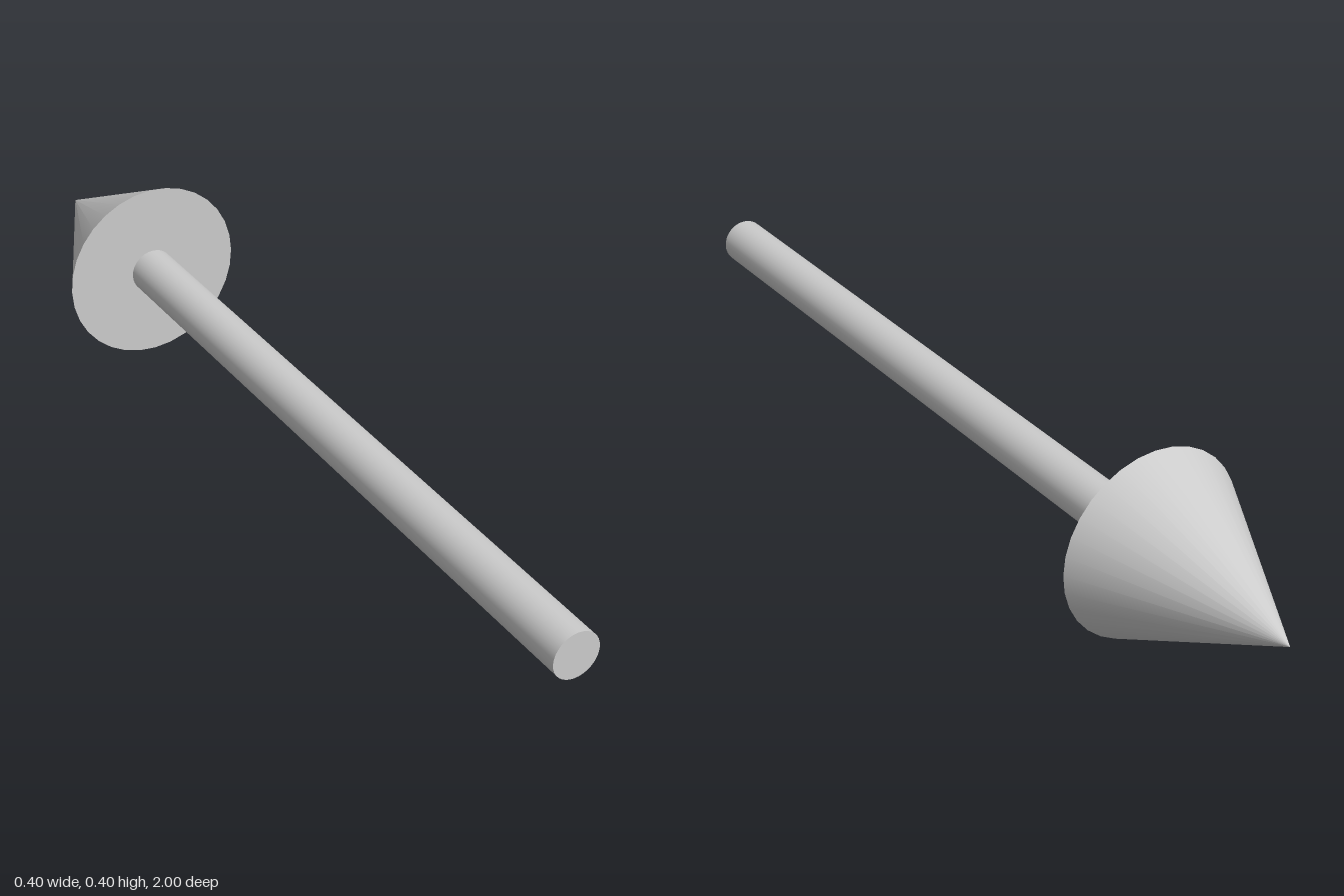
import * as THREE from 'three';

const SIDES = 32;
const AXIS_HEIGHT = 0.2;

export function createModel() {
  const group = new THREE.Group();
  group.name = 'arrow';
  const material = new THREE.MeshStandardMaterial({ color: 0xcccccc });

  // Lays an upright geometry down so that its top points to the back (-z)
  const addPart = (name, geometry, z) => {
    geometry.rotateX(-Math.PI / 2);
    const mesh = new THREE.Mesh(geometry, material);
    mesh.name = name;
    mesh.position.set(0, AXIS_HEIGHT, z);
    group.add(mesh);
  };

  // Long round shaft, from z = 1 to z = -0.6
  addPart('shaft', new THREE.CylinderGeometry(0.05, 0.05, 1.6, SIDES), 0.2);

  // Conical head, from z = -0.6 to its tip at z = -1
  addPart('head', new THREE.ConeGeometry(0.2, 0.4, SIDES), -0.8);

  return group;
}
